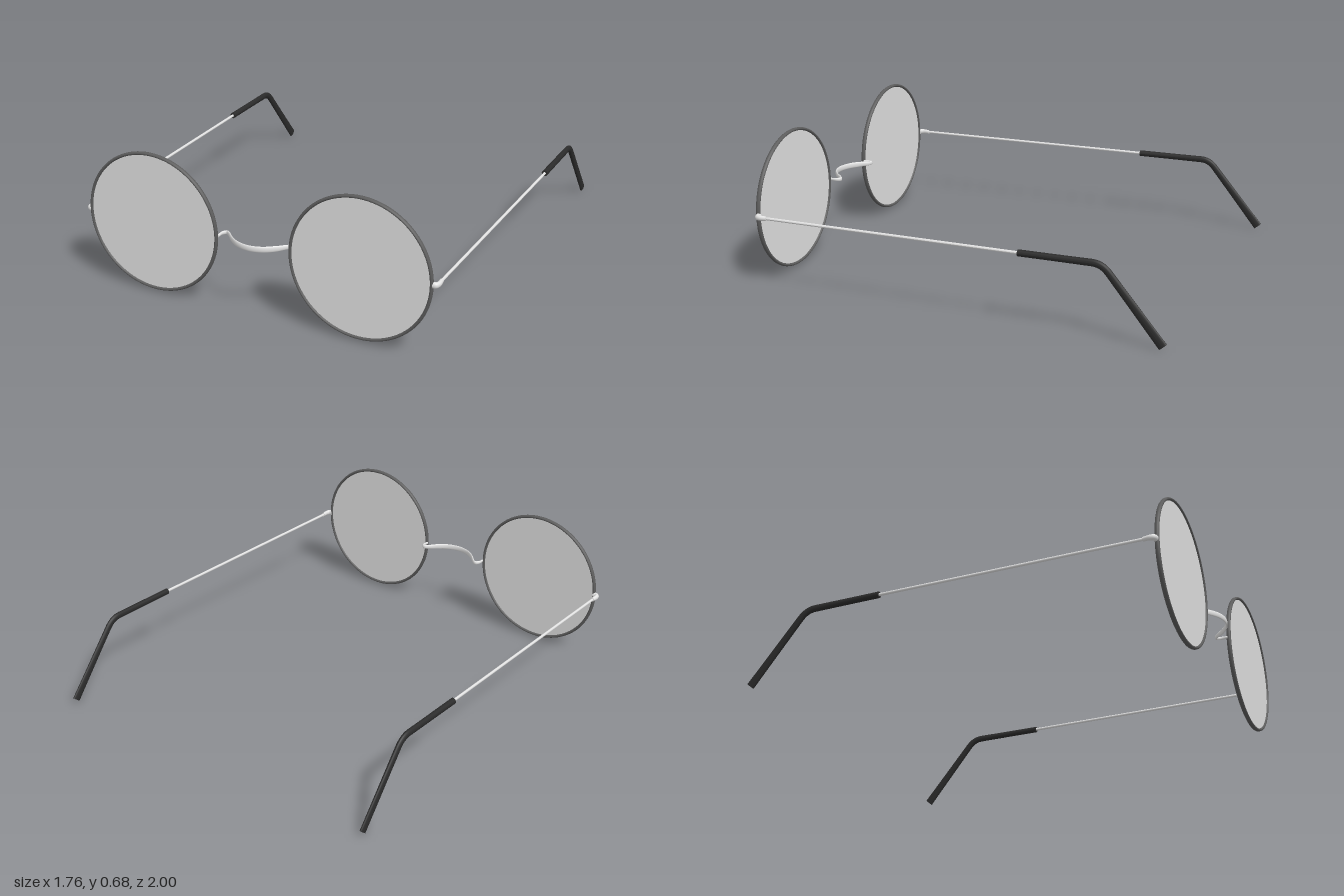
import * as THREE from 'three';

const material = (name, color) => {
  const m = new THREE.MeshStandardMaterial({ color });
  m.name = name;
  return m;
};
const V = (x, y, z) => new THREE.Vector3(x, y, z);

// Sweeps an ellipse along a curve: ra(t) is the half size along axis, rb(t) across it. Flat end caps.
function sweep(curve, axis, ra, rb, steps = 40, sides = 16) {
  const pos = [], index = [];
  const ring = (t) => {
    const c = curve.getPointAt(t), T = curve.getTangentAt(t);
    const side = T.clone().cross(axis).normalize();
    const up = side.clone().cross(T).normalize();
    const start = pos.length / 3;
    for (let j = 0; j <= sides; j++) {
      const a = (j / sides) * Math.PI * 2;
      const p = c.clone().addScaledVector(up, Math.cos(a) * ra(t)).addScaledVector(side, Math.sin(a) * rb(t));
      pos.push(p.x, p.y, p.z);
    }
    return start;
  };
  let last = ring(0);
  for (let i = 1; i <= steps; i++) {
    const next = ring(i / steps);
    for (let j = 0; j < sides; j++) {
      const a = last + j, d = next + j;
      index.push(a, a + 1, d + 1, a, d + 1, d);
    }
    last = next;
  }
  for (const t of [0, 1]) {
    const r = ring(t);
    for (let j = 1; j < sides - 1; j++) {
      if (t) index.push(r, r + j, r + j + 1);
      else index.push(r, r + j + 1, r + j);
    }
  }
  const g = new THREE.BufferGeometry();
  g.setAttribute('position', new THREE.Float32BufferAttribute(pos, 3));
  g.setIndex(index);
  g.computeVertexNormals();
  return g;
}

export function createModel() {
  const model = new THREE.Group();
  model.name = 'roundGlasses';
  const metal = material('silver metal', 0xe2e2e2);
  const rimMat = material('dark rim', 0x5c5c5c);
  const lensMat = material('grey lens', 0xe0e0e0);
  const tipMat = material('black rubber', 0x2b2b2b);
  const add = (name, geometry, mat) => {
    const m = new THREE.Mesh(geometry, mat);
    m.name = name;
    model.add(m);
    return m;
  };
  const Y = 0.345, Z = 0.955, X = V(1, 0, 0), UP = V(0, 1, 0);
  const mix = THREE.MathUtils.lerp;

  for (const [s, label] of [[1, 'left'], [-1, 'right']]) {
    // Lens and slightly flattened rim
    const rim = new THREE.TorusGeometry(0.3265, 0.0075, 12, 96).scale(1, 1, 1.45);
    add(label + 'Rim', rim, rimMat).position.set(s * 0.51, Y, Z);
    const lens = new THREE.CylinderGeometry(0.324, 0.324, 0.006, 96).rotateX(Math.PI / 2);
    add(label + 'Lens', lens, lensMat).position.set(s * 0.51, Y, Z);

    // End piece wrapping from the rim back to the temple
    const hinge = new THREE.CatmullRomCurve3([
      V(s * 0.836, Y, 0.952), V(s * 0.852, Y, 0.95), V(s * 0.859, Y, 0.935), V(s * 0.857, Y, 0.9)]);
    add(label + 'Hinge', sweep(hinge, UP, t => mix(0.015, 0.01, t), t => mix(0.012, 0.009, t)), metal);

    // Thin temple wire
    const wire = new THREE.LineCurve3(V(s * 0.857, Y, 0.92), V(s * 0.867, Y, -0.36));
    add(label + 'Temple', sweep(wire, X, () => 0.0065, () => 0.007, 4, 12), metal);

    // Ear tip: straight sleeve, bend, then a flattening drop
    const x = s * 0.867;
    const ear = new THREE.CurvePath();
    ear.add(new THREE.LineCurve3(V(x, Y, -0.335), V(x, Y, -0.665)));
    ear.add(new THREE.QuadraticBezierCurve3(V(x, Y, -0.665), V(x, Y, -0.71), V(x, 0.308, -0.74)));
    ear.add(new THREE.LineCurve3(V(x, 0.308, -0.74), V(x, 0.016, -0.981)));
    add(label + 'EarTip', sweep(ear, X, t => mix(0.0145, 0.0085, t), t => mix(0.015, 0.022, t * t), 60), tipMat);
  }

  // Nose bridge: flattened wire, tall in the middle and narrow at the rims
  const half = [[0.178, 0.95], [0.177, 0.915], [0.163, 0.899], [0.145, 0.91], [0.11, 0.946], [0.06, 0.98]];
  const bridge = new THREE.CatmullRomCurve3([
    ...half.map(([x, z]) => V(-x, Y, z)), V(0, Y, 0.993),
    ...half.slice().reverse().map(([x, z]) => V(x, Y, z))]);
  add('noseBridge', sweep(bridge, UP, t => mix(0.006, 0.014, Math.min(1, 1.3 * Math.sin(Math.PI * t))),
    () => 0.0052, 80), metal);
  return model;
}
